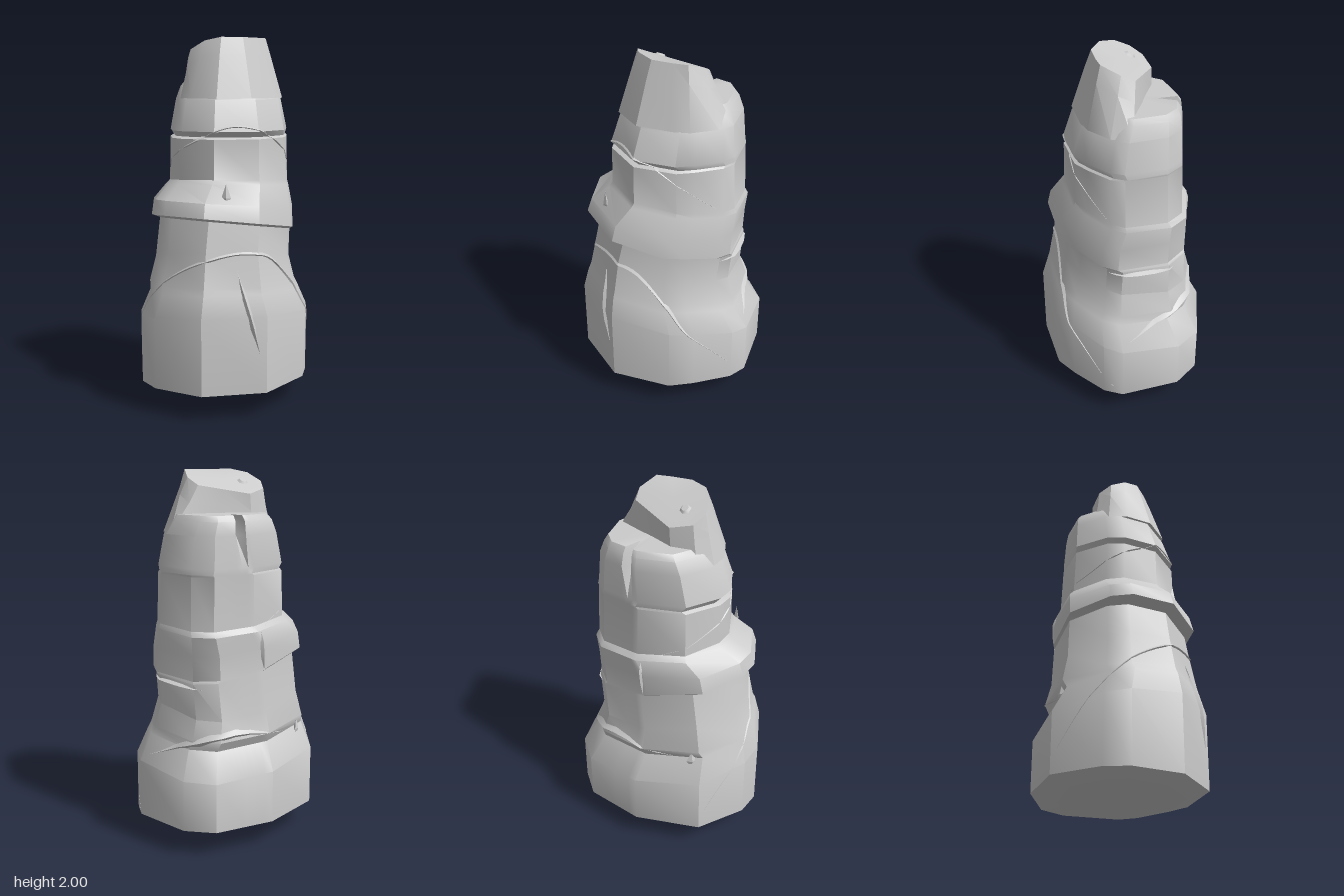
import * as THREE from 'three';
import { toCreasedNormals } from 'three/addons/utils/BufferGeometryUtils.js';

const material = new THREE.MeshStandardMaterial({ color: 0xcccccc });

// Outline of the rock seen from above; the third value marks the groove point.
const outline = [
  [-0.05, -0.465], [0, -0.462], [0.05, -0.459, 1], [0.1, -0.456],
  [0.285, -0.445], [0.42, -0.335], [0.52, -0.02], [0.49, 0.085],
  [0.35, 0.26], [0.25, 0.36], [-0.07, 0.46], [-0.39, 0.32],
  [-0.525, 0.07], [-0.525, -0.07], [-0.39, -0.33],
];

// Fits the outline into x0..x1, z0..z1 at height y, tilted by sx and sz.
function ring([y, x0, x1, z0, z1, sx = 0, sz = 0, groove = 0]) {
  return outline.map(([px, pz, g]) => {
    const x = THREE.MathUtils.mapLinear(px, -0.525, 0.52, x0, x1);
    const z = THREE.MathUtils.mapLinear(pz, -0.465, 0.46, z0, z1);
    return [x, y + sx * x + sz * z, z + (g ? groove : 0)];
  });
}

// Skins a stack of rings and closes it with a fan to each end point.
function loft(rings, bottom, top, crease = 0.6) {
  const pos = [];
  const tri = (...pts) => pts.forEach((p) => pos.push(...p));
  const n = rings[0].length;
  for (let i = 0; i < n; i++) {
    const j = (i + 1) % n;
    for (let r = 0; r < rings.length - 1; r++) {
      const lo = rings[r], hi = rings[r + 1];
      tri(lo[i], hi[i], hi[j]);
      tri(lo[i], hi[j], lo[j]);
    }
    tri(bottom, rings[0][i], rings[0][j]);
    tri(top, rings.at(-1)[j], rings.at(-1)[i]);
  }
  const geo = new THREE.BufferGeometry();
  geo.setAttribute('position', new THREE.Float32BufferAttribute(pos, 3));
  return toCreasedNormals(geo, crease);
}

export function createModel() {
  const group = new THREE.Group();
  const add = (name, geo, mat = material) => {
    const mesh = new THREE.Mesh(geo, mat);
    mesh.name = name;
    group.add(mesh);
    return mesh;
  };

  // Main column: y, x0, x1, z0, z1, tilt along x, tilt along z, groove depth
  const column = add('rockColumn', loft([
    [0.14, -0.525, 0.52, -0.455, 0.465],
    [0.485, -0.525, 0.52, -0.455, 0.465, -0.06, 0.14],
    // ledge at the back
    [0.61, -0.485, 0.44, -0.37, 0.43, -0.06, 0.12],
    [0.655, -0.47, 0.425, -0.395, 0.42, -0.06, 0.1],
    [0.80, -0.43, 0.385, -0.365, 0.385, -0.12, 0.19],
    // overhanging collar on the front and the model's right
    [0.98, -0.4, 0.4, -0.36, 0.365, -0.16, 0.08],
    [0.992, -0.465, 0.402, -0.36, 0.415, -0.16, 0.08],
    [1.10, -0.445, 0.405, -0.362, 0.395, -0.1, 0.05],
    [1.20, -0.35, 0.405, -0.36, 0.325, -0.06, 0.08],
    [1.225, -0.33, 0.395, -0.335, 0.31, -0.06, 0.08],
    // notch across the front
    [1.465, -0.325, 0.385, -0.325, 0.305],
    [1.475, -0.298, 0.384, -0.325, 0.28],
    [1.505, -0.325, 0.382, -0.324, 0.308],
    [1.67, -0.28, 0.358, -0.315, 0.255, 0, 0, 0.05],
    [1.74, -0.24, 0.32, -0.305, 0.2, 0, 0, 0.1],
    [1.77, -0.21, 0.3, -0.285, 0.18, 0, 0, 0.1],
  ].map(ring), [-0.06, 0, 0], [0.05, 1.775, -0.05]));

  // Broken peak: outline at the foot and at the slanted top
  const foot = [
    [-0.23, -0.13], [-0.1, -0.16], [0.2, -0.1], [0.345, -0.06], [0.33, 0.05],
    [0.235, 0.165], [0.16, 0.205], [-0.03, 0.258], [-0.2, 0.185], [-0.275, 0.05], [-0.278, -0.05],
  ];
  const crown = [
    [-0.19, -0.11], [-0.08, -0.155], [0.06, -0.11], [0.185, -0.07], [0.21, 0],
    [0.175, 0.1], [0.1, 0.125], [-0.01, 0.15], [-0.12, 0.11], [-0.18, 0.04], [-0.217, -0.04],
  ];
  const topY = (z) => Math.min(1.995, 1.955 + 0.55 * z);
  const crownRing = crown.map(([x, z]) => [x, topY(z), z]);
  const shoulder = crown.map(([x, z], i) => [
    THREE.MathUtils.lerp(x, foot[i][0], 0.32), topY(z) - 0.09, THREE.MathUtils.lerp(z, foot[i][1], 0.3),
  ]);
  add('brokenPeak', loft(
    [foot.map(([x, z]) => [x, 1.675, z]), shoulder, crownRing],
    [0, 1.675, 0], [0, topY(0), 0], 0.5));

  // Finds the column's skin at an angle (0 = +x, 90 = +z) and height.
  const ray = new THREE.Raycaster();
  column.updateMatrixWorld();
  const skin = (deg, y) => {
    const a = THREE.MathUtils.degToRad(deg);
    const out = new THREE.Vector3(Math.cos(a), 0, Math.sin(a));
    ray.set(out.clone().multiplyScalar(2).setY(y), out.clone().negate());
    const hit = ray.intersectObject(column)[0];
    return { p: hit ? hit.point : out.clone().multiplyScalar(0.3).setY(y), out };
  };

  // Tapered ridge that follows the skin through [angle, height] points
  const thin = material.clone();
  thin.side = THREE.DoubleSide;
  function ridge(name, path, width, raise, steps) {
    const curve = new THREE.CatmullRomCurve3(path.map(([d, y]) => new THREE.Vector3(d / 100, y, 0)));
    const samples = [];
    for (let i = 0; i <= steps; i++) {
      const c = curve.getPoint(i / steps);
      samples.push(skin(c.x * 100, c.y));
    }
    const pos = [], index = [];
    samples.forEach(({ p, out }, i) => {
      const along = samples[Math.min(i + 1, steps)].p.clone().sub(samples[Math.max(i - 1, 0)].p);
      const side = along.cross(out).normalize();
      const t = Math.min(1, 3 * Math.min(i, steps - i) / steps);
      for (const [s, h] of [[-1, -0.008], [0, raise], [1, -0.008]]) {
        const v = p.clone().addScaledVector(side, s * width * t).addScaledVector(out, h * (h > 0 ? t : 1));
        pos.push(v.x, v.y, v.z);
      }
      if (i < steps) for (let k = 0; k < 2; k++) {
        const a = i * 3 + k;
        index.push(a, a + 3, a + 1, a + 1, a + 3, a + 4);
      }
    });
    const geo = new THREE.BufferGeometry();
    geo.setAttribute('position', new THREE.Float32BufferAttribute(pos, 3));
    geo.setIndex(index);
    add(name, toCreasedNormals(geo, 0.5), thin);
  }

  // Veins winding around the column
  ridge('lowerVein', [[0, 0.15], [25, 0.37], [45, 0.53], [60, 0.68], [90, 0.85], [125, 0.87],
    [165, 0.75], [195, 0.5], [225, 0.15]], 0.016, 0.008, 48);
  ridge('upperVein', [[0, 1.17], [40, 1.36], [75, 1.48], [120, 1.53], [160, 1.45],
    [210, 1.3], [265, 1.17]], 0.012, 0.006, 40);

  // Splinters and short lips
  ridge('frontSplinter', [[118, 0.8], [110, 0.57], [103, 0.35]], 0.022, 0.014, 6);
  ridge('sideLip', [[12, 0.9], [-20, 0.89], [-45, 0.88]], 0.014, 0.025, 8);
  ridge('backLip', [[-5, 0.49], [-35, 0.58], [-70, 0.64], [-125, 0.59]], 0.025, 0.018, 12);
  ridge('backSplinter', [[265, 1.18], [264, 1.08], [262, 0.95]], 0.018, 0.012, 6);

  // Small diamond chips: angle, height, half width, half height
  for (const [deg, y, w, h] of [[126, 1.17, 0.025, 0.075], [222, 0.58, 0.03, 0.06]]) {
    const { p, out } = skin(deg, y);
    const chip = add('chip', new THREE.OctahedronGeometry(1));
    chip.scale.set(w, h, 0.014);
    chip.position.copy(p);
    chip.lookAt(p.clone().add(out));
  }
  const pebble = add('topChip', new THREE.CylinderGeometry(0.02, 0.036, 0.016, 6).toNonIndexed());
  pebble.position.set(-0.1, topY(-0.045) + 0.003, -0.045);
  pebble.rotation.x = -0.5;

  return group;
}
